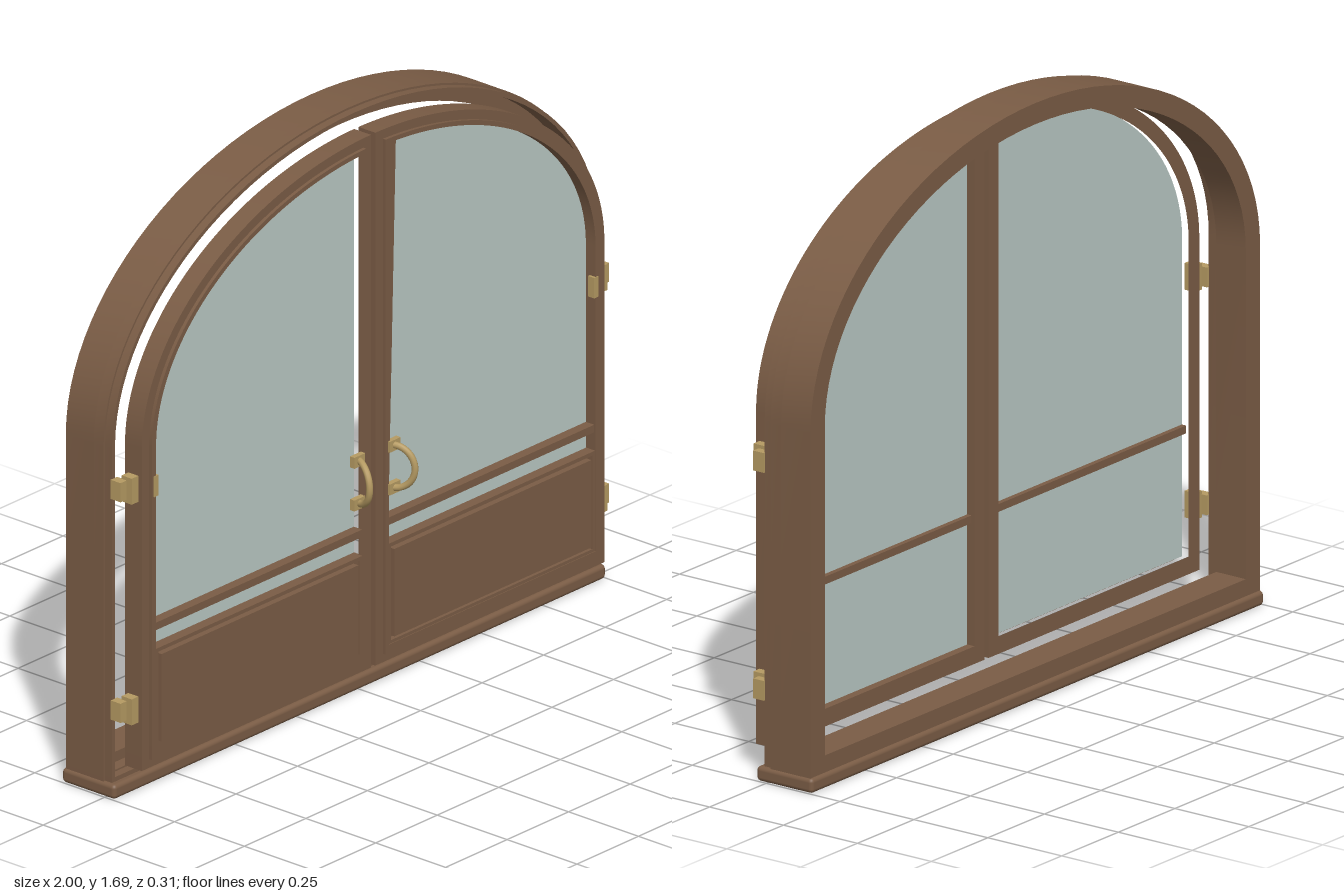
import * as THREE from 'three';
import { toCreasedNormals } from 'three/addons/utils/BufferGeometryUtils.js';
import { RoundedBoxGeometry } from 'three/addons/geometries/RoundedBoxGeometry.js';

const SPRING = 1.02; // height where the arch begins

// Outline with a flat bottom and an elliptical arch, cut off at x0
function outline(x0, x1, y0, top, side = 1) {
  const pts = [[x0, y0], [x1, y0]];
  const end = Math.acos(x0 / x1), n = 48;
  for (let i = 0; i <= n; i++) {
    const t = (end * i) / n;
    pts.push([x1 * Math.cos(t), SPRING + (top - SPRING) * Math.sin(t)]);
  }
  return pts.map(([x, y]) => new THREE.Vector2(x * side, y));
}

function rect(x0, x1, y0, y1, side) {
  return [[x0, y0], [x1, y0], [x1, y1], [x0, y1]].map(([x, y]) => new THREE.Vector2(x * side, y));
}

// Extrude an outline, optionally with a hole, between two depths
function slab(outer, hole, z0, z1) {
  const shape = new THREE.Shape(outer);
  if (hole) shape.holes.push(new THREE.Path(hole));
  const geo = new THREE.ExtrudeGeometry(shape, { depth: z1 - z0, bevelEnabled: false });
  geo.translate(0, 0, z0);
  return toCreasedNormals(geo, 0.5);
}

export function createModel() {
  const wood = new THREE.MeshStandardMaterial({ color: 0x7a5c45 });
  wood.name = 'brown wood';
  const glass = new THREE.MeshStandardMaterial({ color: 0xb9c8c4 });
  glass.name = 'pale glass';
  const brass = new THREE.MeshStandardMaterial({ color: 0xb59a62 });
  brass.name = 'brass';

  const model = new THREE.Group();
  model.name = 'archedDoubleWindow';

  const add = (parent, name, geo, mat) => {
    const mesh = new THREE.Mesh(geo, mat);
    mesh.name = name;
    parent.add(mesh);
    return mesh;
  };
  const box = (parent, name, mat, x0, x1, y0, y1, z0, z1) => {
    const mesh = add(parent, name, new THREE.BoxGeometry(Math.abs(x1 - x0), y1 - y0, z1 - z0), mat);
    mesh.position.set((x0 + x1) / 2, (y0 + y1) / 2, (z0 + z1) / 2);
  };

  // Rebated outer frame: deep back ring, wider front ring and a thin lip
  const frame = new THREE.Group();
  frame.name = 'frame';
  model.add(frame);
  const ring = (name, o, i, z0, z1) => add(frame, name,
    slab(outline(-o[0], ...o), outline(-i[0], ...i), z0, z1), wood);
  ring('frameBack', [0.993, 0.03, 1.69], [0.93, 0.09, 1.63], -0.145, -0.045);
  ring('frameRebate', [0.993, 0.03, 1.69], [0.975, 0.06, 1.672], -0.045, -0.01);
  ring('frameLip', [0.987, 0.035, 1.684], [0.975, 0.055, 1.672], -0.01, 0.015);

  // Sill
  const sill = add(model, 'sill', new RoundedBoxGeometry(2, 0.042, 0.19, 3, 0.012), wood);
  sill.position.set(0, 0.021, -0.06);

  for (const s of [1, -1]) {
    const leaf = new THREE.Group();
    leaf.name = s > 0 ? 'leftDoor' : 'rightDoor';
    model.add(leaf);

    // Door leaf, raised moulding and glass
    const opening = outline(0.053, 0.893, 0.13, 1.6, s);
    add(leaf, 'doorFrame', slab(outline(0.009, 0.94, 0.08, 1.64, s), opening, 0.02, 0.08), wood);
    add(leaf, 'doorMoulding', slab(outline(0.04, 0.91, 0.105, 1.613, s), opening, 0.08, 0.09), wood);
    add(leaf, 'glassPane', slab(outline(0.05, 0.897, 0.125, 1.604, s), null, 0.045, 0.055), glass);

    // Glazing bar on both faces
    box(leaf, 'glazingBar', wood, s * 0.05, s * 0.895, 0.477, 0.499, 0.03, 0.085);

    // Lower panel with rim and raised field
    box(leaf, 'panelBase', wood, s * 0.05, s * 0.895, 0.125, 0.424, 0.056, 0.072);
    add(leaf, 'panelRim', slab(rect(0.053, 0.893, 0.128, 0.424, s),
      rect(0.064, 0.882, 0.139, 0.413, s), 0.072, 0.088), wood);
    add(leaf, 'panelField', slab(rect(0.073, 0.873, 0.148, 0.404, s), null, 0.07, 0.092), wood);

    // Handle: two mounting plates and a bowed grip leaning outward
    for (const y of [0.585, 0.71]) {
      box(leaf, 'handlePlate', brass, s * 0.05, s * 0.094, y - 0.016, y + 0.016, 0.08, 0.096);
    }
    const grip = [];
    for (let i = 0; i <= 10; i++) {
      const t = (Math.PI * i) / 10, out = Math.sin(t);
      grip.push(new THREE.Vector3(s * (0.07 + 0.022 * out), 0.648 - 0.063 * Math.cos(t), 0.09 + 0.059 * out));
    }
    add(leaf, 'handleGrip',
      new THREE.TubeGeometry(new THREE.CatmullRomCurve3(grip), 32, 0.0095, 10), brass);

    // Hinges
    for (const y of [0.257, 0.903]) {
      box(leaf, 'hingeKnuckle', brass, s * 0.938, s * 0.967, y - 0.038, y + 0.038, 0.032, 0.068);
      box(leaf, 'hingeLeaf', brass, s * 0.965, s * 0.992, y - 0.028, y + 0.028, 0.014, 0.05);
    }
    box(leaf, 'doorCatch', brass, s * 0.885, s * 0.903, 0.873, 0.933, 0.07, 0.092);
  }
  return model;
}
